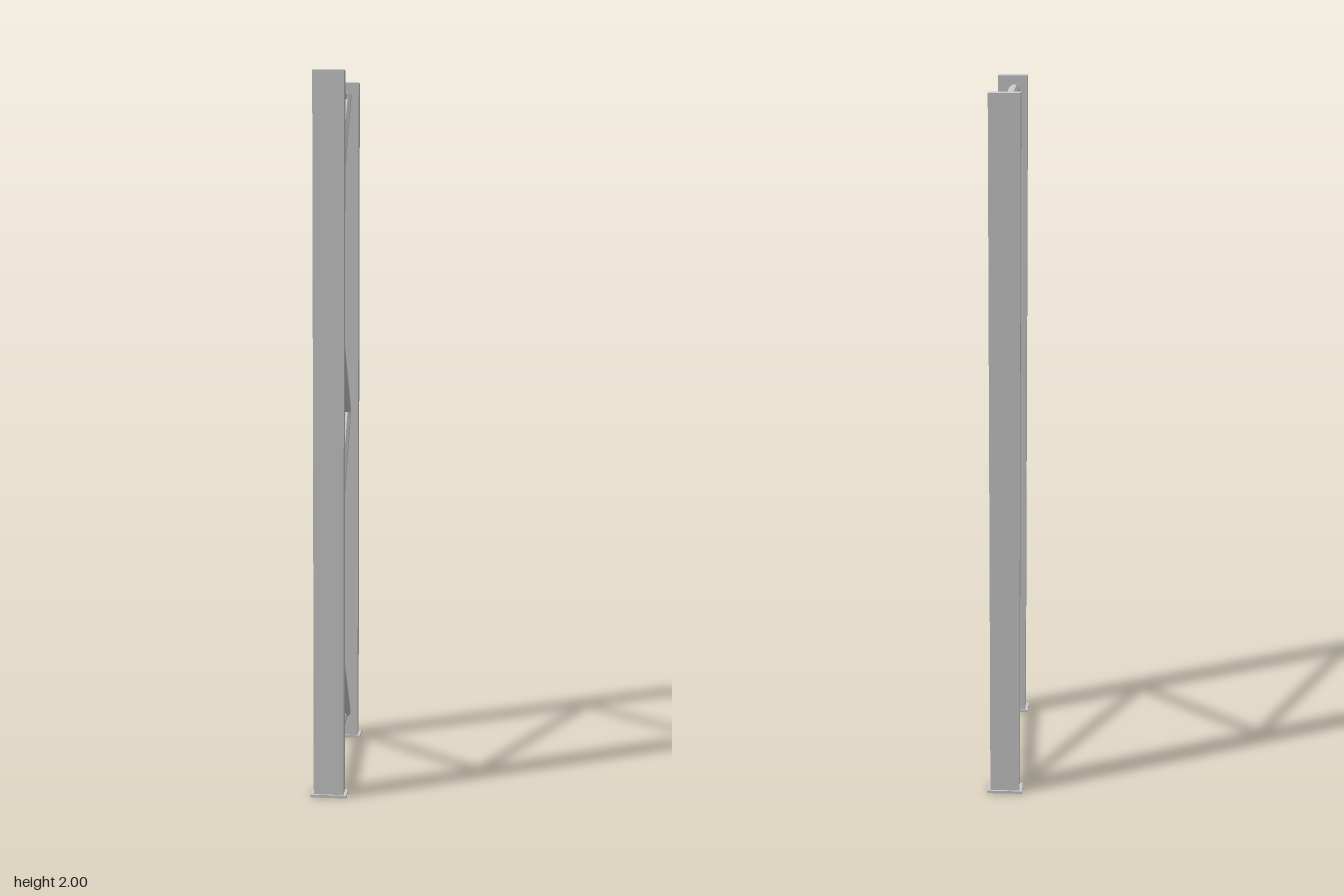
import * as THREE from 'three';

export function createModel() {
  const model = new THREE.Group();
  model.name = 'braceFrame';
  const material = new THREE.MeshStandardMaterial({ color: 0xcccccc, flatShading: true });

  const box = (name, w, h, d, y, z) => {
    const mesh = new THREE.Mesh(new THREE.BoxGeometry(w, h, d), material);
    mesh.name = name;
    mesh.position.set(0, y + h / 2, z);
    model.add(mesh);
  };

  // Eight-sided tube in a plane of constant x, with a flat facing sideways
  const bar = (name, x, [z0, y0], [z1, y1]) => {
    const dz = z1 - z0, dy = y1 - y0;
    const geometry = new THREE.CylinderGeometry(0.0162, 0.0162, Math.hypot(dz, dy), 8);
    geometry.rotateY(Math.PI / 8);
    const mesh = new THREE.Mesh(geometry, material);
    mesh.name = name;
    mesh.rotation.x = Math.atan2(dz, dy);
    mesh.position.set(x, (y0 + y1) / 2, (z0 + z1) / 2);
    model.add(mesh);
  };

  // Uprights on their base plates
  for (const [side, s] of [['front', 1], ['back', -1]]) {
    box(side + 'BasePlate', 0.1, 0.008, 0.051, 0, s * 0.2565);
    box(side + 'Post', 0.084, 1.992, 0.043, 0.008, s * 0.2555);
  }

  // Level struts at the bottom and the top
  const reach = 0.238;
  bar('bottomStrut', -0.005, [-reach, 0.075], [reach, 0.075]);
  bar('topStrut', -0.005, [-reach, 1.96], [reach, 1.96]);

  // Zigzag of diagonals, starting at the back
  const nodes = [0.08, 0.555, 1.025, 1.495, 1.96];
  for (let i = 0; i < nodes.length - 1; i++) {
    const z = i % 2 ? reach : -reach;
    bar('diagonalBrace' + (i + 1), 0.005, [z, nodes[i]], [-z, nodes[i + 1]]);
  }
  return model;
}
